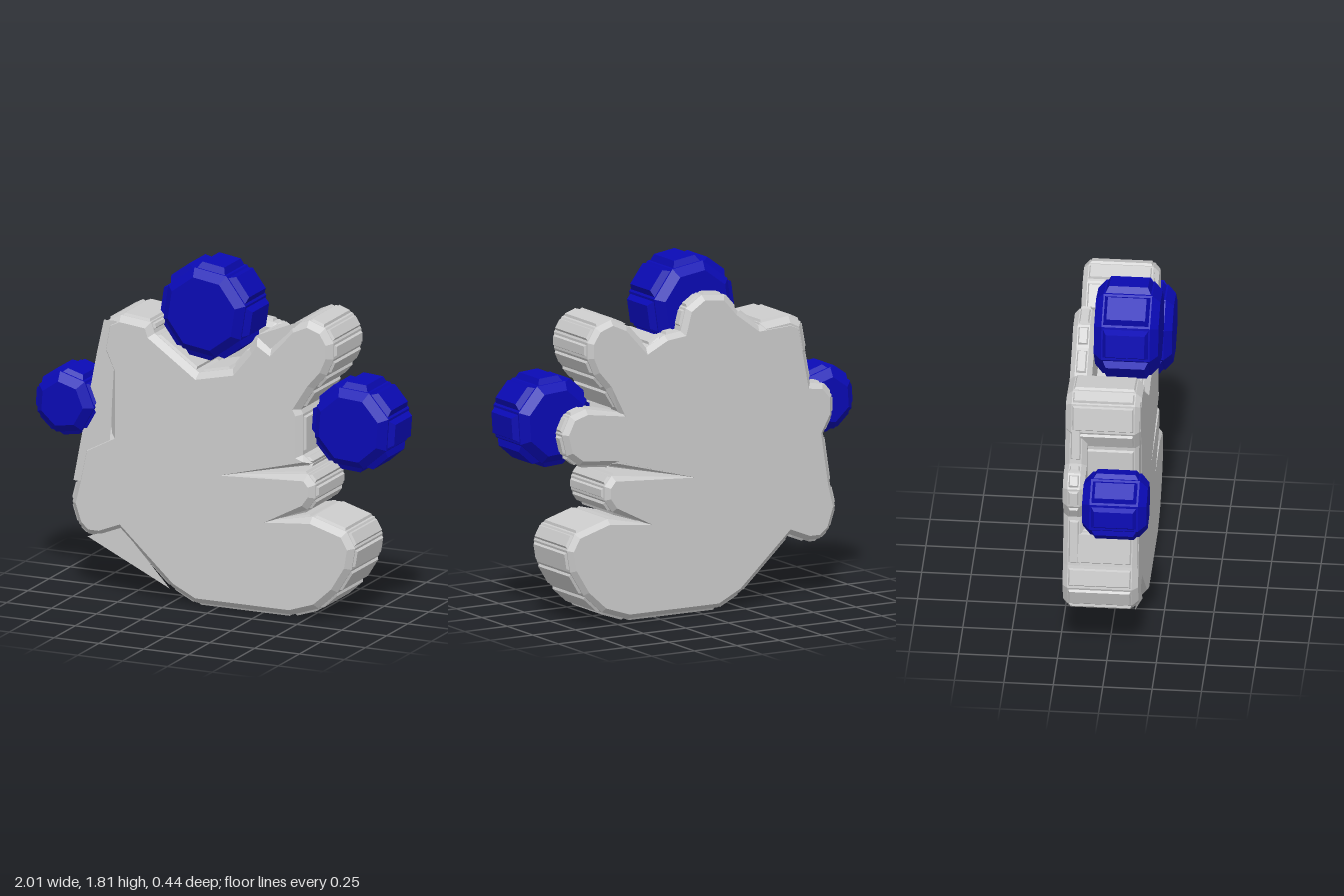
import * as THREE from 'three';

const grey = new THREE.MeshStandardMaterial({ color: 0xcccccc, flatShading: true, side: THREE.DoubleSide });
const blue = new THREE.MeshStandardMaterial({ color: 0x0a0ab4, flatShading: true });

function add(parent, name, geo, mat) {
  const mesh = new THREE.Mesh(geo, mat);
  mesh.name = name;
  parent.add(mesh);
  return mesh;
}

const toShape = pts => new THREE.Shape(pts.map(p => new THREE.Vector2(p[0], p[1])));

// Bevelled plate between two depths
function plate(pts, z0, z1, bevel, offset) {
  const geo = new THREE.ExtrudeGeometry(toShape(pts), {
    depth: z1 - z0 - 2 * bevel, bevelEnabled: true, bevelThickness: bevel,
    bevelSize: bevel, bevelOffset: offset - bevel, bevelSegments: 1, steps: 1,
  });
  return geo.translate(0, 0, z0 + bevel);
}

// Raised panel: a four-sided frustum whose base is on y = 0 and which points along +y
function panel(w, d, h, inset) {
  const geo = new THREE.BoxGeometry(w, h, d).translate(0, h / 2, 0);
  const p = geo.attributes.position;
  for (let i = 0; i < p.count; i++) {
    if (p.getY(i) > h / 2) {
      p.setX(i, Math.sign(p.getX(i)) * (w / 2 - inset));
      p.setZ(i, Math.sign(p.getZ(i)) * (d / 2 - inset));
    }
  }
  return geo;
}

// Plate with a raised panel along every longer edge (outline runs anticlockwise)
function panelledPlate(parent, name, pts, z0, z1, bevel) {
  const group = new THREE.Group();
  group.name = name;
  parent.add(group);
  add(group, name + 'Body', plate(pts, z0, z1, bevel, -0.012), grey);
  pts.forEach((a, i) => {
    const b = pts[(i + 1) % pts.length];
    const dx = b[0] - a[0], dy = b[1] - a[1], len = Math.hypot(dx, dy);
    if (len < 0.06) return;
    const m = add(group, name + 'EdgePanel', panel(len - 0.02, z1 - z0 - 2 * bevel, 0.022, 0.012), grey);
    const nx = dy / len, ny = -dx / len;
    m.position.set((a[0] + b[0]) / 2 - nx * 0.022, (a[1] + b[1]) / 2 - ny * 0.022, (z0 + z1) / 2);
    m.rotation.z = Math.atan2(ny, nx) - Math.PI / 2;
  });
}

// Faceted berry: bevelled polygon core with a raised panel on each side
function berry(parent, name, x, y, r, sides, turn) {
  const group = new THREE.Group();
  group.name = name;
  group.position.set(x, y, 0.053);
  parent.add(group);
  const step = 2 * Math.PI / sides, apothem = r * 0.87;
  const pts = [];
  for (let i = 0; i < sides; i++) {
    const a = turn + (i + 0.5) * step, R = apothem / Math.cos(step / 2);
    pts.push([R * Math.cos(a), R * Math.sin(a)]);
  }
  add(group, name + 'Core', plate(pts, -0.163, 0.163, 0.04, 0), blue);
  for (let i = 0; i < sides; i++) {
    const a = turn + i * step;
    const w = 2 * apothem * Math.tan(step / 2) * 0.92;
    const m = add(group, name + 'Panel', panel(w, 0.24, r - apothem + 0.01, 0.022), blue);
    m.position.set((apothem - 0.01) * Math.cos(a), (apothem - 0.01) * Math.sin(a), 0);
    m.rotation.z = a - Math.PI / 2;
  }
}

export function createModel() {
  const model = new THREE.Group();
  model.name = 'berryBush';

  // Outline runs shared by the thick foliage and the thin backing
  const lowerRight = [
    [-0.54, 0.33], [-0.26, 0.07], [-0.12, 0], [0.42, 0], [0.57, 0.05], [0.68, 0.15], [0.76, 0.28],
    [0.78, 0.4], [0.73, 0.49], [0.53, 0.55], [0.33, 0.5], [0.51, 0.56], [0.56, 0.63], [0.56, 0.71], [0.51, 0.77],
    [0.08, 0.71],
  ];
  const upperFinger = [
    [0.48, 1.09], [0.55, 1.2], [0.62, 1.28], [0.66, 1.37], [0.66, 1.46], [0.61, 1.54], [0.51, 1.575],
    [0.41, 1.53], [0.3, 1.41],
  ];
  const lowerLeft = [[-0.79, 0.58], [-0.82, 0.46], [-0.78, 0.34], [-0.72, 0.29], [-0.64, 0.29]];

  // Thick foliage, with pockets for the three berries
  panelledPlate(model, 'foliage', [
    ...lowerRight, [0.55, 0.81], [0.49, 0.86], [0.49, 1.07], ...upperFinger,
    [0.22, 1.46], [0.17, 1.38], [0.08, 1.27], [-0.1, 1.23], [-0.34, 1.4], [-0.36, 1.46],
    [-0.54, 1.48], [-0.62, 1.44], [-0.65, 1.28], [-0.6, 1.17], [-0.6, 0.85], [-0.75, 0.77],
    ...lowerLeft,
  ], -0.22, 0.16, 0.03);

  // Thin backing, with lobes behind the berries
  panelledPlate(model, 'backing', [
    ...lowerRight, [0.5, 0.8], [0.7, 0.82], [0.78, 0.88], [0.81, 1.0], [0.76, 1.1], [0.66, 1.13],
    ...upperFinger,
    [0.2, 1.46], [0.11, 1.47], [0.08, 1.58], [-0.02, 1.645], [-0.16, 1.63], [-0.24, 1.54], [-0.36, 1.45],
    [-0.54, 1.46], [-0.61, 1.43], [-0.67, 1.12], [-0.74, 1.11], [-0.8, 1.04], [-0.8, 0.93], [-0.75, 0.84],
    ...lowerLeft,
  ], -0.222, -0.11, 0.025);

  // Flat sheets bridging hollows at the front
  const sheets = {
    leftSheet: [[-0.62, 1.44], [-0.66, 1.26], [-0.79, 0.58], [-0.6, 0.58], [-0.55, 1.44]],
    bottomSheet: [[-0.72, 0.29], [-0.26, 0.07], [-0.53, 0.36]],
    topSheet: [[0.22, 1.45], [0.3, 1.39], [0.48, 1.56]],
  };
  for (const [name, pts] of Object.entries(sheets)) {
    add(model, name, new THREE.ShapeGeometry(toShape(pts)), grey).position.z = name === 'leftSheet' ? 0.157 : 0.14;
  }

  // Berries
  berry(model, 'topBerry', -0.05, 1.55, 0.25, 8, 1.42);
  berry(model, 'rightBerry', 0.77, 1.04, 0.23, 8, 1.5);
  berry(model, 'leftBerry', -0.83, 0.985, 0.17, 7, 1.28);

  return model;
}
